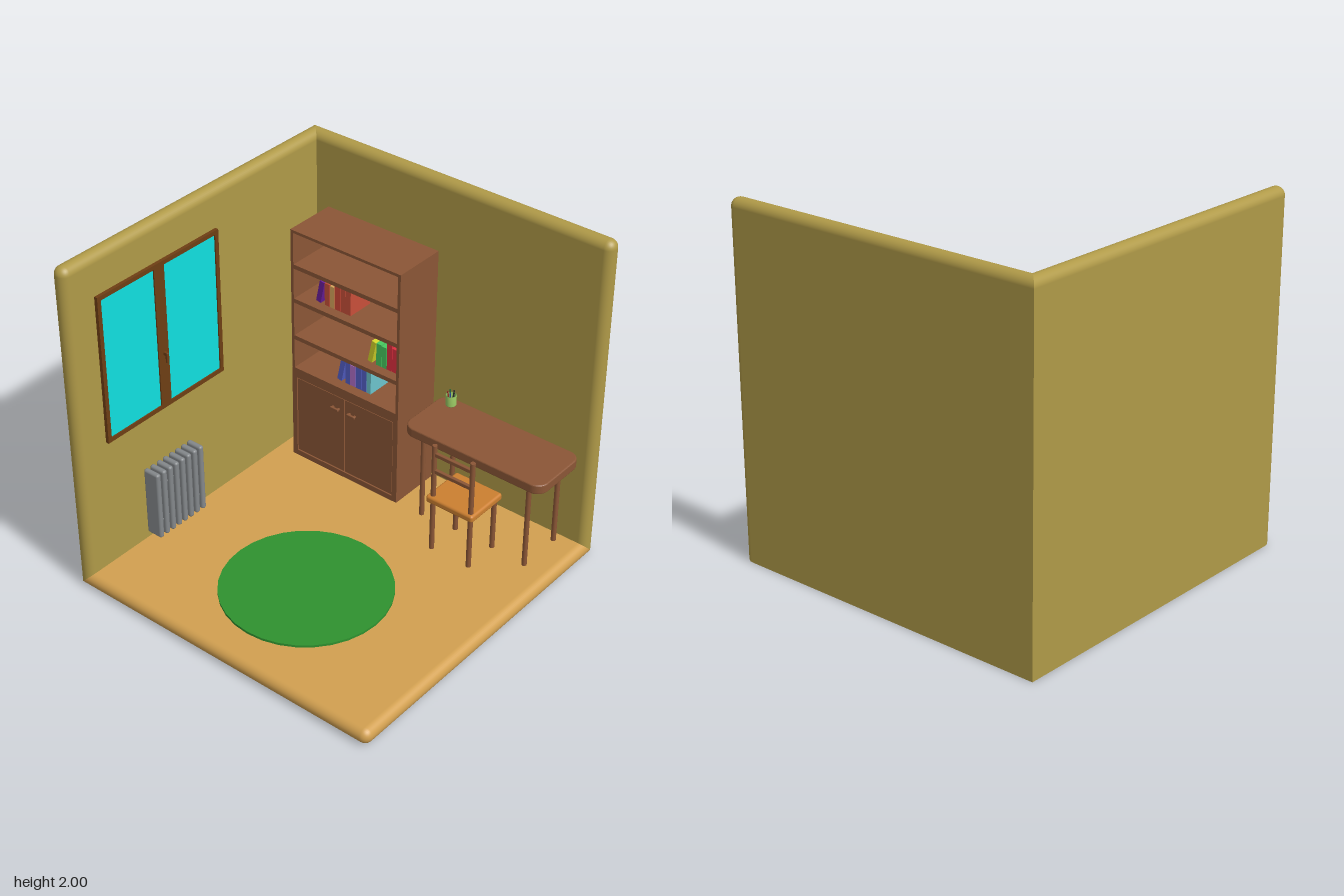
import * as THREE from 'three';
import { RoundedBoxGeometry } from 'three/addons/geometries/RoundedBoxGeometry.js';

const mat = (color) => new THREE.MeshStandardMaterial({ color });
const WALL = mat(0xb09a48), FLOOR = mat(0xd2a050), WOOD = mat(0x8b5636), DARK = mat(0x6e3e14);
const GLASS = mat(0x10e0e0), RUG = mat(0x2f922f), SEAT = mat(0xcc7f30), METAL = mat(0x84888b);
const PIPE = mat(0xb4b6b8), POT = mat(0x9ccc65), SHADE = mat(0x4a2a16);
const T = 0.095; // slab thickness, also the floor level

function add(parent, name, geometry, material, x = 0, y = 0, z = 0) {
  const m = new THREE.Mesh(geometry, material);
  m.name = name;
  m.position.set(x, y, z);
  parent.add(m);
  return m;
}

function group(parent, name) {
  const g = new THREE.Group();
  g.name = name;
  parent.add(g);
  return g;
}

// box given by its limits on each axis, with optional rounded edges
function box(parent, name, material, [x0, x1], [y0, y1], [z0, z1], r = 0) {
  const s = [x1 - x0, y1 - y0, z1 - z0];
  const geo = r ? new RoundedBoxGeometry(...s, 3, r) : new THREE.BoxGeometry(...s);
  return add(parent, name, geo, material, (x0 + x1) / 2, (y0 + y1) / 2, (z0 + z1) / 2);
}

function post(parent, name, material, x, z, y0, y1, r) {
  return add(parent, name, new THREE.CylinderGeometry(r, r, y1 - y0, 12), material, x, (y0 + y1) / 2, z);
}

// slab with rounded free edges, mitred where it meets the other two slabs
function slab(parent, name, material, axis) {
  const size = [2, 2, 2];
  size[axis] = T;
  const geo = new RoundedBoxGeometry(...size, 4, T / 2);
  geo.translate(size[0] / 2, size[1] / 2, size[2] / 2);
  const p = geo.attributes.position;
  for (let i = 0; i < p.count; i++) {
    const depth = p.getComponent(i, axis);
    for (let k = 0; k < 3; k++) {
      if (k !== axis && p.getComponent(i, k) < T / 2 + 0.001) p.setComponent(i, k, depth);
    }
  }
  add(parent, name, geo, material, -1, 0, -1);
}

function roundedRect(w, d, r) {
  const s = new THREE.Shape(), x = w / 2 - r, y = d / 2 - r;
  s.absarc(x, y, r, 0, Math.PI / 2);
  s.absarc(-x, y, r, Math.PI / 2, Math.PI);
  s.absarc(-x, -y, r, Math.PI, Math.PI * 1.5);
  s.absarc(x, -y, r, Math.PI * 1.5, Math.PI * 2);
  return s;
}

function buildWindow(root) {
  const g = group(root, 'window');
  const X = [-0.91, -0.885], y = [0.88, 1.77], z = [-0.08, 0.81], t = 0.025;
  box(g, 'glass', GLASS, [-0.91, -0.893], y.map((v, i) => v + (i ? -0.01 : 0.01)), [-0.07, 0.8]);
  box(g, 'frameBottom', DARK, X, [y[0], y[0] + t], z);
  box(g, 'frameTop', DARK, X, [y[1] - t, y[1]], z);
  box(g, 'frameBack', DARK, X, y, [z[0], z[0] + t]);
  box(g, 'frameFront', DARK, X, y, [z[1] - t, z[1]]);
  box(g, 'centrePost', DARK, X, [y[0] + t, y[1] - t], [0.333, 0.407]);
  box(g, 'handleStem', DARK, [-0.885, -0.86], [1.212, 1.23], [0.358, 0.374]);
  box(g, 'handleGrip', DARK, [-0.872, -0.858], [1.17, 1.23], [0.357, 0.375], 0.004);
}

function buildRadiator(root) {
  const g = group(root, 'radiator');
  for (let i = 0; i < 8; i++) {
    const z = 0.207 + i * 0.0481;
    box(g, 'fin', METAL, [-0.905, -0.8], [0.135, 0.562], [z - 0.016, z + 0.016], 0.014);
  }
  for (const y of [0.235, 0.47]) {
    const pipe = add(g, 'pipe', new THREE.CylinderGeometry(0.027, 0.027, 0.337, 16), PIPE, -0.85, y, 0.375);
    pipe.rotation.x = Math.PI / 2;
  }
}

// a leaning book followed by upright ones: [width, height, colour]
function bookRow(parent, x, y, list) {
  const g = group(parent, 'books');
  const depth = 0.17, z = -0.7;
  list.forEach(([w, h, color], i) => {
    const geo = new THREE.BoxGeometry(w - 0.002, h, depth);
    if (i === 0) {
      geo.translate(-w / 2, h / 2, 0);
      const b = add(g, 'leaningBook', geo, mat(color), x - h * Math.sin(0.2), y, z);
      b.rotation.z = -0.2;
    } else {
      add(g, 'book', geo, mat(color), x + w / 2, y + h / 2, z);
      x += w;
    }
  });
}

function buildBookcase(root) {
  const g = group(root, 'bookcase');
  const x0 = -0.8, x1 = -0.04, z0 = -0.88, z1 = -0.555, X = [x0, x1], t = 0.018;
  box(g, 'rightSide', WOOD, [x0, x0 + t], [T, 1.59], [z0, z1]);
  box(g, 'leftSide', WOOD, [x1 - t, x1], [T, 1.59], [z0, z1]);
  box(g, 'back', WOOD, X, [T, 1.59], [z0, z0 + t]);
  box(g, 'top', WOOD, X, [1.573, 1.59], [z0, z1]);
  for (const y of [1.374, 1.155, 0.914, 0.7]) {
    box(g, 'shelf', WOOD, [x0 + t, x1 - t], [y - 0.026, y], [z0 + t, z1 - 0.002]);
  }
  // cupboard front: frame with an opening, dark gap behind, two doors
  const frame = new THREE.Shape([[x0, T], [x1, T], [x1, 0.7], [x0, 0.7]].map((p) => new THREE.Vector2(...p)));
  const opening = [[-0.768, 0.13], [-0.768, 0.638], [-0.072, 0.638], [-0.072, 0.13]];
  frame.holes.push(new THREE.Path(opening.map((p) => new THREE.Vector2(...p))));
  add(g, 'cupboardFrame', new THREE.ExtrudeGeometry(frame, { depth: 0.02, bevelEnabled: false }), WOOD, 0, 0, z1 - 0.019);
  box(g, 'cupboardInside', SHADE, [x0 + t, x1 - t], [T, 0.68], [z0 + t, z1 - 0.018]);
  for (const s of [-1, 1]) {
    const c = -0.42;
    const door = box(g, 'door', WOOD, [c - 0.17, c + 0.17], [0.136, 0.632], [z1 - 0.018, z1 - 0.002]);
    door.position.x = c + s * 0.173;
    const hx = c + s * 0.059;
    box(g, 'doorHandle', WOOD, [hx - 0.029, hx + 0.029], [0.546, 0.562], [z1 + 0.008, z1 + 0.022], 0.004);
    for (const e of [-1, 1]) {
      const px = hx + e * 0.019;
      box(g, 'handlePin', WOOD, [px - 0.006, px + 0.006], [0.549, 0.559], [z1 - 0.004, z1 + 0.012]);
    }
  }
  bookRow(g, -0.61, 1.155, [[0.035, 0.14, 0x6a1f9c], [0.037, 0.14, 0xc94f3a], [0.032, 0.135, 0xd9a55c],
    [0.043, 0.177, 0xd24a38], [0.037, 0.15, 0xc94f3a], [0.037, 0.15, 0xc94f3a]]);
  bookRow(g, -0.245, 0.914, [[0.032, 0.14, 0xd2d42a], [0.037, 0.14, 0x48c860], [0.037, 0.135, 0x48c860],
    [0.037, 0.18, 0xe03040], [0.037, 0.15, 0xe03040], [0.037, 0.15, 0x48c860]]);
  bookRow(g, -0.46, 0.7, [[0.034, 0.14, 0x5560c8], [0.032, 0.14, 0x5560c8], [0.037, 0.135, 0xb070c8],
    [0.043, 0.177, 0x5560c8], [0.037, 0.15, 0x5560c8], [0.032, 0.15, 0x6cc4cc]]);
}

function buildDesk(root) {
  const g = group(root, 'desk');
  const b = 0.008;
  const top = new THREE.ExtrudeGeometry(roundedRect(0.915 - 2 * b, 0.38 - 2 * b, 0.06),
    { depth: 0.058 - 2 * b, bevelSize: b, bevelThickness: b, bevelSegments: 3, curveSegments: 8 });
  top.rotateX(-Math.PI / 2);
  add(g, 'deskTop', top, WOOD, 0.4825, 0.634 + b, -0.7);
  for (const x of [0.132, 0.832]) for (const z of [-0.567, -0.845]) post(g, 'deskLeg', WOOD, x, z, T, 0.64, 0.0145);
}

function buildChair(root) {
  const g = group(root, 'chair');
  box(g, 'seat', SEAT, [0.325, 0.635], [0.412, 0.457], [-0.615, -0.335], 0.015);
  for (const x of [0.357, 0.607]) {
    post(g, 'backPost', WOOD, x, -0.363, T, 0.787, 0.0145);
    post(g, 'frontLeg', WOOD, x, -0.58, T, 0.42, 0.0145);
  }
  for (const y of [0.622, 0.731]) box(g, 'backRail', WOOD, [0.357, 0.607], [y - 0.012, y + 0.012], [-0.373, -0.353], 0.004);
}

function buildPencilPot(root) {
  const g = group(root, 'pencilPot');
  g.position.set(0.115, 0.692, -0.83);
  const profile = [[0, 0], [0.029, 0], [0.031, 0.004], [0.031, 0.065], [0.026, 0.065], [0.026, 0.006], [0, 0.006]];
  add(g, 'pot', new THREE.LatheGeometry(profile.map((p) => new THREE.Vector2(...p)), 24), POT);
  [0x303030, 0x2a4a9c, 0x9c2a2a, 0x2a6a3a, 0x303030].forEach((color, i) => {
    const a = i * Math.PI * 0.4;
    const geo = new THREE.CylinderGeometry(0.004, 0.004, 0.082, 6).translate(0, 0.041, 0);
    const p = add(g, 'pencil', geo, mat(color), Math.cos(a) * 0.01, 0.007, Math.sin(a) * 0.01);
    p.rotation.set(Math.sin(a) * 0.12, 0, -Math.cos(a) * 0.12);
  });
}

export function createModel() {
  const root = new THREE.Group();
  root.name = 'room';
  slab(root, 'floor', FLOOR, 1);
  slab(root, 'rightWall', WALL, 0);
  slab(root, 'backWall', WALL, 2);
  add(root, 'rug', new THREE.CylinderGeometry(0.475, 0.475, 0.016, 32), RUG, 0.05, T + 0.006, 0.335);
  buildWindow(root);
  buildRadiator(root);
  buildBookcase(root);
  buildDesk(root);
  buildChair(root);
  buildPencilPot(root);
  return root;
}
